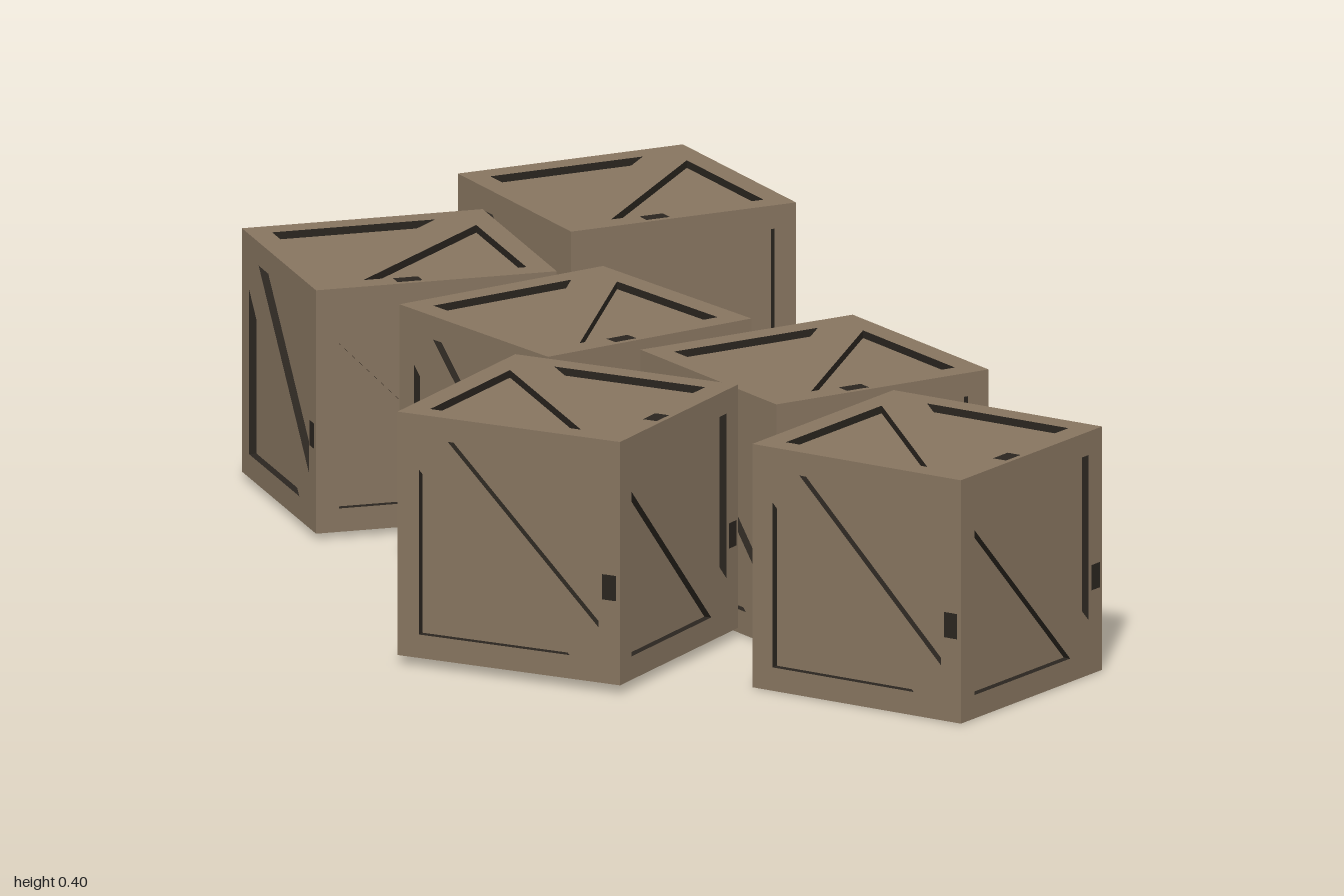
import * as THREE from 'three';

const S = 0.385;       // crate edge length
const H = S / 2;
const DEPTH = 0.012;   // recess depth of the panels
const P = H - 0.037;   // half size of the panel opening
const GAP = 0.05;      // brace half width measured along the frame

const wood = new THREE.MeshStandardMaterial({ color: 0x86745f });
wood.name = 'weathered wood';
const shade = new THREE.MeshStandardMaterial({ color: 0x2a251f, side: THREE.DoubleSide });
shade.name = 'dark gap';

// the two triangular openings either side of the diagonal brace
const openings = [
  [[-P, -P], [P - GAP, -P], [-P, P - GAP]],
  [[P, P], [-P + GAP, P], [P, -P + GAP]],
];

// flat frame with brace, cut out of a square
function frameGeometry() {
  const shape = new THREE.Shape([[-H, -H], [H, -H], [H, H], [-H, H]].map(p => new THREE.Vector2(...p)));
  for (const tri of openings) {
    shape.holes.push(new THREE.Path([...tri, tri[0]].map(p => new THREE.Vector2(...p))));
  }
  return new THREE.ShapeGeometry(shape);
}

// inner walls of the openings, running back to the panel
function wallGeometry() {
  const pos = [];
  for (const tri of openings) {
    tri.forEach(([ax, ay], i) => {
      const [bx, by] = tri[(i + 1) % 3];
      pos.push(ax, ay, 0, ax, ay, -DEPTH, bx, by, 0);
      pos.push(bx, by, 0, ax, ay, -DEPTH, bx, by, -DEPTH);
    });
  }
  const geo = new THREE.BufferGeometry();
  geo.setAttribute('position', new THREE.Float32BufferAttribute(pos, 3));
  geo.computeVertexNormals();
  return geo;
}

const mesh = (geo, mat, name) => {
  const m = new THREE.Mesh(geo, mat);
  m.name = name;
  return m;
};

export function createModel() {
  const model = new THREE.Group();
  model.name = 'crates';
  const frameGeo = frameGeometry();
  const wallGeo = wallGeometry();
  const coreGeo = new THREE.BoxGeometry(S - 2 * DEPTH, S - 2 * DEPTH, S - 2 * DEPTH);
  const markGeo = new THREE.PlaneGeometry(0.024, 0.04);

  // one side of a crate, facing +z before it is turned
  function crateSide(rx, ry, rz) {
    const side = new THREE.Group();
    side.name = 'crateSide';
    const mark = mesh(markGeo, shade, 'scuffMark');
    mark.position.set(0.174, -0.04, 0.001);
    const face = new THREE.Group();
    face.name = 'face';
    face.add(mesh(frameGeo, wood, 'frame'), mesh(wallGeo, shade, 'recessWalls'), mark);
    face.position.z = H;
    side.add(face);
    side.rotation.set(rx, ry, rz);
    return side;
  }

  function crate(x, y, z, degrees) {
    const g = new THREE.Group();
    g.name = 'crate';
    g.add(mesh(coreGeo, wood, 'panels'));
    for (let i = 0; i < 4; i++) g.add(crateSide(0, i * Math.PI / 2, 0));
    for (const s of [-1, 1]) g.add(crateSide(s * Math.PI / 2, 0, -Math.PI / 2));
    // turn the lid and base so their braces run corner to corner
    g.children.slice(-2).forEach((side, i) => {
      side.rotation.order = 'XYZ';
      side.name = i === 0 ? 'lid' : 'base';
    });
    g.position.set(x, y + H, z);
    g.rotation.y = THREE.MathUtils.degToRad(degrees);
    model.add(g);
  }

  // x, bottom, z, turn
  crate(0.22, 0.01, -0.78, 9.6);
  crate(-0.22, 0.01, -0.533, 0);
  crate(-0.07, 0.01, -0.105, 19);
  crate(0.203, 0.003, 0.25, 15.5);
  crate(-0.238, 0.015, 0.4, 45);
  crate(0.237, 0.002, 0.725, 38.8);
  return model;
}
